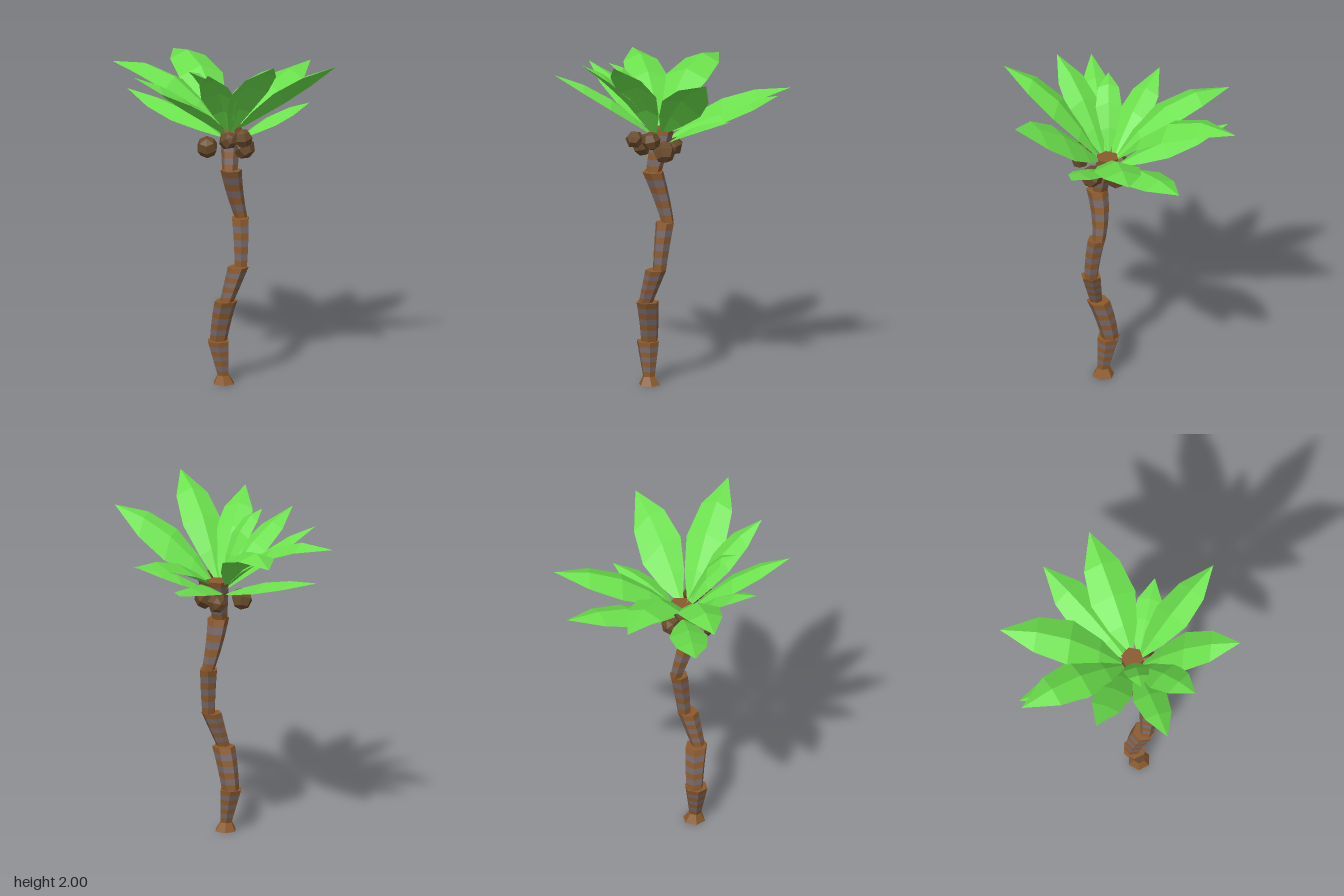
import * as THREE from 'three';

const mat = (color) => new THREE.MeshStandardMaterial({ color, flatShading: true, side: THREE.DoubleSide });
const bark = mat(0x8b5a2f), band = mat(0x75686a), leaf = mat(0x6be04c), husk = mat(0x684a2b);

// Joins successive cross-sections (arrays of Vector3) with quads
function loft(rows, closed) {
  const pos = [];
  const n = rows[0].length;
  const tri = (...pts) => pts.forEach((p) => pos.push(p.x, p.y, p.z));
  for (let r = 0; r < rows.length - 1; r++) {
    for (let i = 0; i < (closed ? n : n - 1); i++) {
      const j = (i + 1) % n;
      const a = rows[r][i], b = rows[r][j], c = rows[r + 1][j], d = rows[r + 1][i];
      tri(a, c, b);
      tri(a, d, c);
    }
  }
  const g = new THREE.BufferGeometry();
  g.setAttribute('position', new THREE.Float32BufferAttribute(pos, 3));
  g.computeVertexNormals();
  return g;
}

function add(parent, name, geometry, material) {
  const m = new THREE.Mesh(geometry, material);
  m.name = name;
  parent.add(m);
  return m;
}

// Six-sided ring around a trunk point [x, y, z, radius]
function ring([x, y, z, r], turn) {
  return Array.from({ length: 6 }, (_, i) => {
    const a = turn + (i / 6) * Math.PI * 2;
    return new THREE.Vector3(x + r * Math.cos(a), y, z + r * Math.sin(a));
  });
}

// Trunk segments: narrow bottom ring, wide top ring, sideways bow in z
const SEGMENTS = [
  [[-0.12, 0.05, 0.11, 0.036], [-0.137, 0.25, 0.083, 0.068], 0],
  [[-0.13, 0.25, 0.075, 0.05], [-0.118, 0.495, 0.14, 0.066], -0.008],
  [[-0.122, 0.495, 0.155, 0.04], [-0.055, 0.695, 0.17, 0.06], 0],
  [[-0.035, 0.695, 0.165, 0.04], [-0.016, 0.97, 0.127, 0.055], 0.005],
  [[-0.005, 0.97, 0.113, 0.037], [-0.085, 1.265, 0.14, 0.062], -0.012],
  [[-0.085, 1.265, 0.125, 0.045], [-0.045, 1.51, 0.07, 0.065], 0],
];

function trunk() {
  const g = new THREE.Group();
  g.name = 'trunk';
  add(g, 'foot', loft([ring([-0.115, 0, 0.11, 0], 0), ring([-0.115, 0, 0.11, 0.065], 0),
    ring(SEGMENTS[0][0], 0)], true), bark);
  SEGMENTS.forEach(([a, b, bow], s) => {
    const turn = s * 0.35;
    const at = (t) => {
      const p = a.map((v, k) => v + (b[k] - v) * t);
      p[2] += bow * 4 * t * (1 - t);
      return ring(p, turn);
    };
    const ROWS = 7;
    for (let k = 0; k < ROWS; k++) {
      const grey = k % 2 === 1;
      add(g, grey ? 'barkBand' : 'bark', loft([at(k / ROWS), at((k + 1) / ROWS)], true), grey ? band : bark);
    }
    add(g, 'segmentTop', loft([at(1), ring([b[0], b[1], b[2], 0], turn)], true), bark);
  });
  return g;
}

// Fronds: root, tip, width, upward bow, sideways roll
const FRONDS = [
  [[-0.075, 1.5, 0.01], [0.01, 1.78, -0.69], 0.27, 0.16, 0],
  [[-0.02, 1.45, 0.03], [0.46, 1.62, -0.45], 0.25, 0.06, 0],
  [[0.005, 1.5, 0.06], [0.63, 1.745, -0.19], 0.27, 0.08, 0],
  [[0.005, 1.44, 0.11], [0.405, 1.61, 0.19], 0.18, 0.04, 0],
  [[-0.03, 1.5, 0.12], [0.385, 1.9, 0.525], 0.24, 0.07, 0.5],
  [[-0.08, 1.49, 0.13], [-0.12, 2.0, 0.69], 0.24, 0.11, 0],
  [[-0.095, 1.5, 0.11], [-0.41, 1.935, 0.44], 0.21, 0.08, 0],
  [[-0.1, 1.47, 0.095], [-0.635, 1.82, 0.285], 0.2, 0.06, 0],
  [[-0.085, 1.53, 0.07], [-0.36, 1.88, 0.13], 0.15, 0.1, 0],
  [[-0.095, 1.47, 0.045], [-0.575, 1.815, -0.125], 0.21, 0.06, 0],
  [[-0.09, 1.5, 0.02], [-0.47, 1.8, -0.555], 0.25, 0.13, 0],
  [[-0.08, 1.44, 0.02], [-0.36, 1.62, -0.57], 0.22, 0.04, 0],
];
// Position along the frond, share of the width, share of the bow
const PROFILE = [[0, 0.12, 0], [0.18, 0.62, 0.6], [0.42, 1, 1], [0.7, 0.8, 0.8], [1, 0, 0]];

function frond([from, to, width, bow, roll]) {
  const root = new THREE.Vector3(...from);
  const tip = new THREE.Vector3(...to);
  const out = tip.clone().sub(root).setY(0).normalize();
  const side = new THREE.Vector3(out.z, 0, -out.x);
  return loft(PROFILE.map(([t, w, b]) => {
    const ridge = root.clone().lerp(tip, t);
    ridge.y += bow * b;
    const half = (width * w) / 2;
    return [-1, 0, 1].map((s) => {
      const p = ridge.clone().addScaledVector(side, s * half);
      p.y -= half * (Math.abs(s) * 0.4 + s * roll);
      return p;
    });
  }), false);
}

// Coconuts: centre x, y, z, radius
const NUTS = [
  [-0.185, 1.39, 0.04, 0.064], [-0.01, 1.395, 0.01, 0.06], [-0.01, 1.39, 0.155, 0.066],
  [-0.06, 1.47, 0.235, 0.056], [-0.16, 1.47, 0.235, 0.054],
];

export function createModel() {
  const model = new THREE.Group();
  model.name = 'palmTree';
  model.add(trunk());

  // Crown of fronds
  const crown = new THREE.Group();
  crown.name = 'crown';
  model.add(crown);
  FRONDS.forEach((f) => add(crown, 'frond', frond(f), leaf));

  // Coconuts under the crown
  NUTS.forEach(([x, y, z, r], i) => {
    const nut = add(model, 'coconut', new THREE.SphereGeometry(r, 6, 4), husk);
    nut.position.set(x, y, z);
    nut.rotation.set(0.4 + i, i * 1.3, 0.3);
  });
  return model;
}
